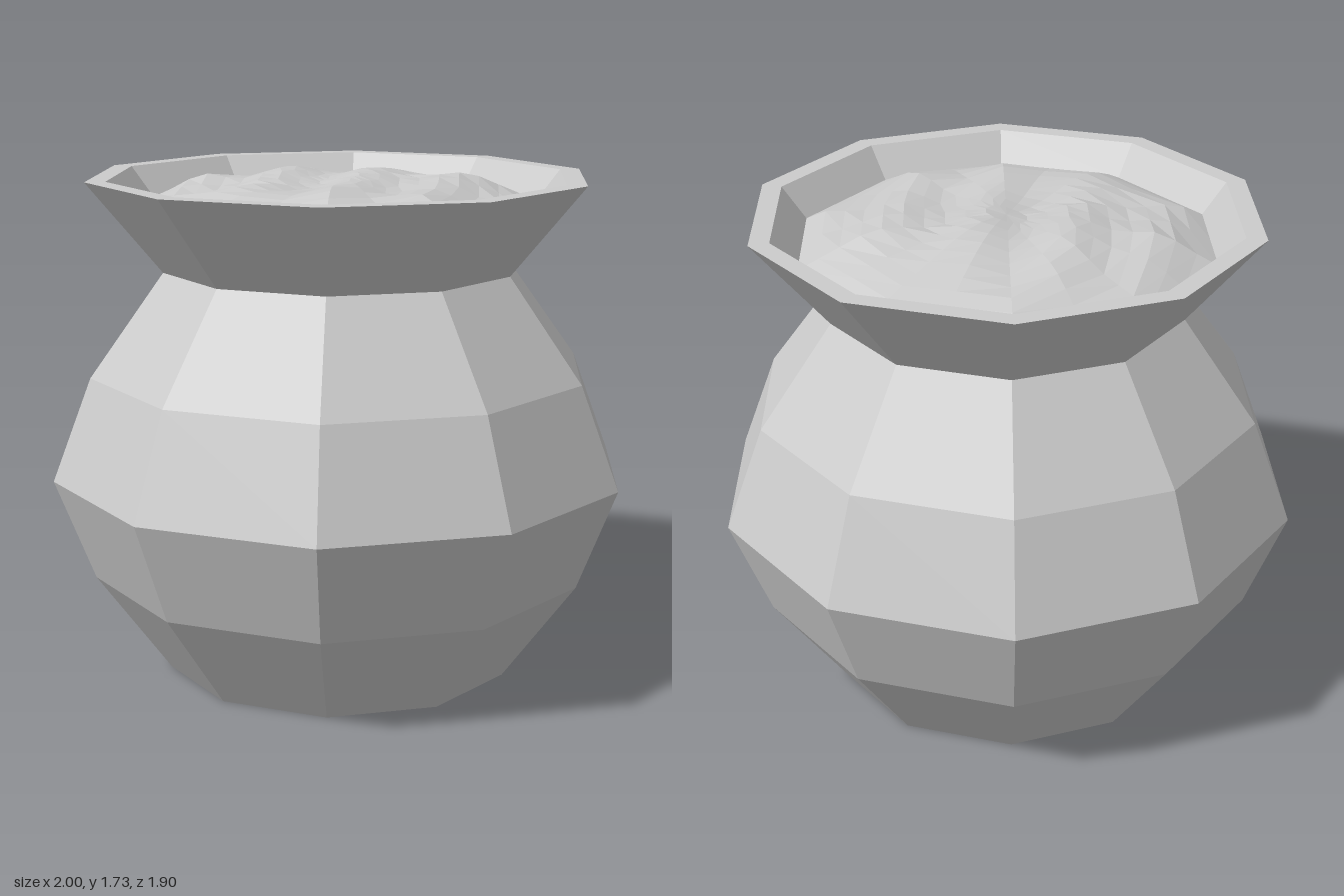
import * as THREE from 'three';

const SIDES = 10;

export function createModel() {
  const group = new THREE.Group();
  group.name = 'filledPot';
  const material = new THREE.MeshStandardMaterial({ color: 0xcccccc, flatShading: true });

  // Ten-sided pot: base, round belly, neck, flared rim and inner lip
  const profile = [
    [0, 0], [0.61, 0], [0.865, 0.352], [1, 0.704], [0.865, 1.056],
    [0.61, 1.405], [0.865, 1.715], [0.795, 1.715], [0.71, 1.61],
  ].map(([r, y]) => new THREE.Vector2(r, y));
  const pot = new THREE.Mesh(new THREE.LatheGeometry(profile, SIDES, Math.PI / 2), material);
  pot.name = 'pot';
  group.add(pot);

  // Uneven, gently heaped contents fitted to the ten-sided lip
  const surface = new THREE.RingGeometry(0, 0.71, SIDES * 2, 10).rotateX(-Math.PI / 2);
  const pos = surface.attributes.position;
  const wedge = (2 * Math.PI) / SIDES;
  for (let i = 0; i < pos.count; i++) {
    let x = pos.getX(i), z = pos.getZ(i);
    const t = Math.hypot(x, z) / 0.71;
    const angle = Math.atan2(z, x) + 2 * Math.PI;
    const offset = angle - Math.round(angle / wedge) * wedge;
    const fit = Math.cos(wedge / 2) / Math.cos(wedge / 2 - Math.abs(offset));
    x *= fit;
    z *= fit;
    const across = z + 0.2 * x;
    const ripple = 0.014 * Math.sin(across * 19 + 1.5 * Math.sin(x * 4))
      + 0.008 * Math.sin(x * 9 - z * 5);
    const heap = 0.095 * (1 - t ** 4);
    pos.setXYZ(i, x, 1.61 + heap + ripple * Math.min(1, (1 - t) * 4), z);
  }
  surface.computeVertexNormals();
  const contents = new THREE.Mesh(surface, material);
  contents.name = 'contents';
  group.add(contents);

  return group;
}
